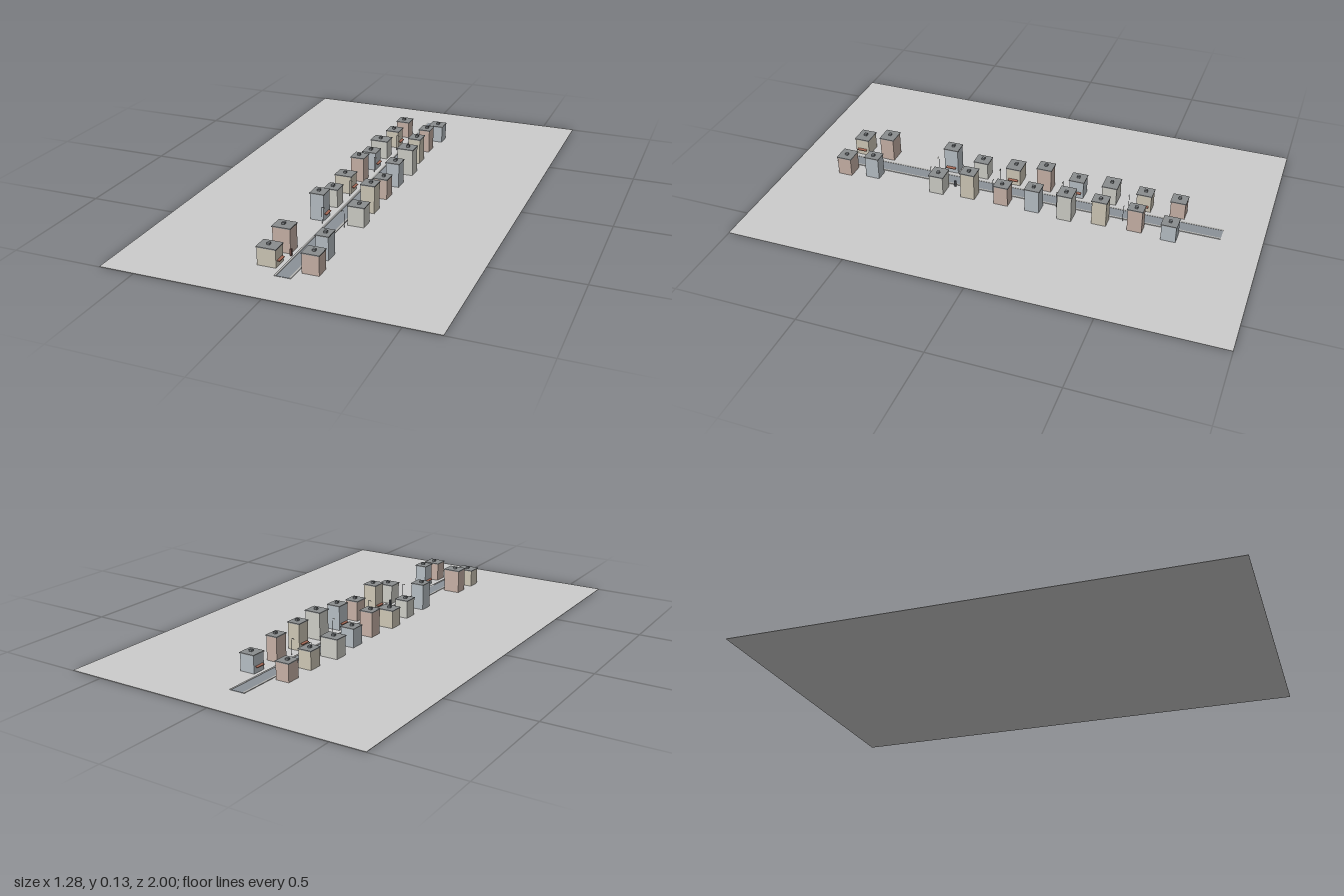
import * as THREE from 'three';

const GROUND = 0.002;
const materials = {};
const mat = (color) => (materials[color] ??= new THREE.MeshStandardMaterial({ color }));

// Box standing on height y
function box(parent, name, color, w, h, d, x, y, z) {
  const mesh = new THREE.Mesh(new THREE.BoxGeometry(w, h, d), mat(color));
  mesh.name = name;
  mesh.position.set(x, y + h / 2, z);
  parent.add(mesh);
  return mesh;
}

const WALLS = [0xb8c0c6, 0xc9b3a8, 0xd0c9b8, 0xcfcfc8];
const ROWS = [-0.645, -0.505, -0.36, -0.22, -0.08, 0.055, 0.2, 0.335, 0.635, 0.755];
// Outer wall distance from the street centre, and wall height, per row
const SIDES = [
  { side: 1, tint: 0, hasAwning: (i) => i % 2 === 0, plots: [
    [0.112, 0.07], [0.097, 0.098], [0.102, 0.107], [0.118, 0.112], [0.107, 0.1],
    [0.105, 0.083], [0.107, 0.113], [0.117, 0.079], [0.1, 0.092], [0.117, 0.077]] },
  { side: -1, tint: 1, hasAwning: (i) => i % 2 === 1, plots: [
    [0.107, 0.07], [0.106, 0.073], [0.125, 0.077], [0.109, 0.075], [0.106, 0.102],
    [0.121, 0.073], [0.106, 0.073], [0.106, 0.108], [0.121, 0.097], [0.125, 0.07]] },
];

function createBuilding(side, outer, height, z, color, awning) {
  const g = new THREE.Group();
  g.name = 'building';
  const inner = 0.05, w = outer - inner, d = 0.06;
  const x = side * (inner + w / 2);
  box(g, 'walls', color, w, height, d, x, GROUND, z);
  box(g, 'roofSlab', 0x8a8d8e, w + 0.004, 0.004, d + 0.005, x, GROUND + height, z);
  box(g, 'roofVent', 0x777b7e, 0.012, 0.008, 0.012, x + side * 0.003, GROUND + height + 0.004, z);
  // Shop canopy over the pavement
  if (awning) {
    const canopy = box(g, 'awning', 0xa86b58, 0.011, 0.003, 0.042, side * 0.045, 0.026, z);
    canopy.rotation.z = -side * -0.25;
  }
  return g;
}

function createLamp(side, z) {
  const g = new THREE.Group();
  g.name = 'streetLamp';
  const pole = new THREE.Mesh(new THREE.CylinderGeometry(0.0008, 0.001, 0.068, 8), mat(0x55595c));
  pole.name = 'lampPole';
  pole.position.set(side * 0.046, 0.038, z);
  g.add(pole);
  box(g, 'lampArm', 0x55595c, 0.011, 0.0015, 0.0015, side * 0.041, 0.071, z);
  box(g, 'lampHead', 0xd8d2b0, 0.004, 0.002, 0.003, side * 0.036, 0.0695, z);
  return g;
}

export function createModel() {
  const model = new THREE.Group();
  model.name = 'street';

  box(model, 'ground', 0xcccccc, 1.28, GROUND, 2, 0, 0, 0);
  box(model, 'road', 0x8b9198, 0.05, 0.0015, 1.675, 0, GROUND, 0);
  for (const side of [-1, 1]) {
    box(model, 'pavement', 0xb4b4b2, 0.008, 0.0025, 1.675, side * 0.029, GROUND, 0);
  }

  // Two facing rows of buildings
  for (const { side, tint, hasAwning, plots } of SIDES) {
    plots.forEach(([outer, height], i) => {
      const color = WALLS[(i + tint) % 4];
      model.add(createBuilding(side, outer, height, ROWS[i], color, hasAwning(i)));
    });
  }

  // Evenly spaced lamps
  for (const z of [-0.445, -0.165, 0.11, 0.39]) {
    for (const side of [-1, 1]) model.add(createLamp(side, z));
  }

  // Small pavement posts
  box(model, 'pavementPost', 0x6b4a44, 0.007, 0.027, 0.008, -0.043, GROUND, 0.675);
  box(model, 'pavementPost', 0x4b4e55, 0.007, 0.027, 0.008, 0.042, GROUND, 0.28);

  return model;
}
